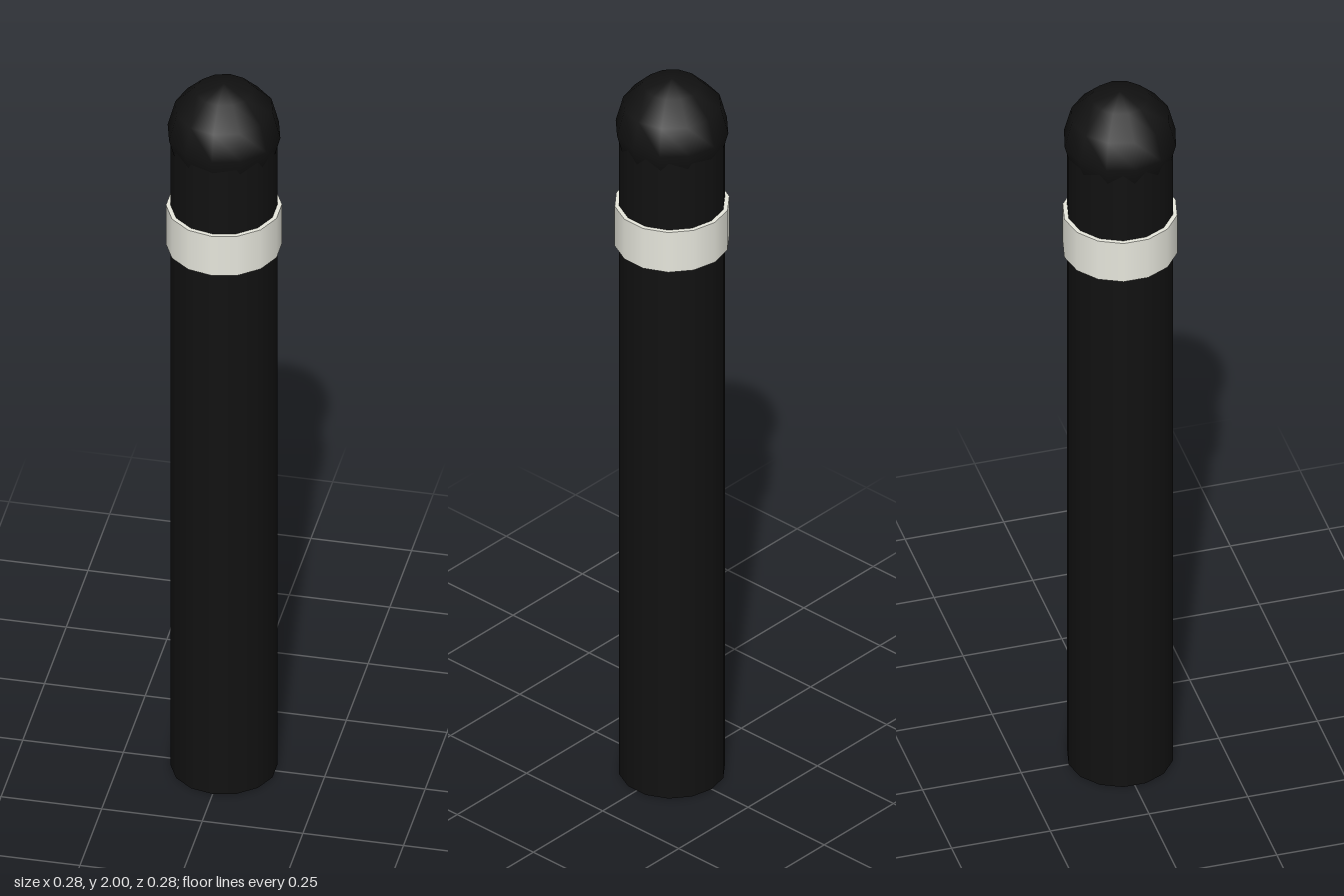
import * as THREE from 'three';

export function createModel() {
  const model = new THREE.Group();
  model.name = 'bollard';
  const black = new THREE.MeshStandardMaterial({ color: 0x111111 });
  black.name = 'black';
  const offWhite = new THREE.MeshStandardMaterial({ color: 0xe6e6dc });
  offWhite.name = 'offWhite';

  const add = (name, geometry, material, y) => {
    const mesh = new THREE.Mesh(geometry, material);
    mesh.name = name;
    mesh.position.y = y;
    model.add(mesh);
  };

  // Round post standing on the ground
  add('post', new THREE.CylinderGeometry(0.13, 0.13, 1.86, 14), black, 0.93);
  // Rounded top, slightly wider than the post
  add('domeCap', new THREE.SphereGeometry(0.14, 12, 6), black, 1.86);
  // Reflective collar
  add('reflectiveBand', new THREE.CylinderGeometry(0.141, 0.141, 0.115, 14), offWhite, 1.587);

  return model;
}
